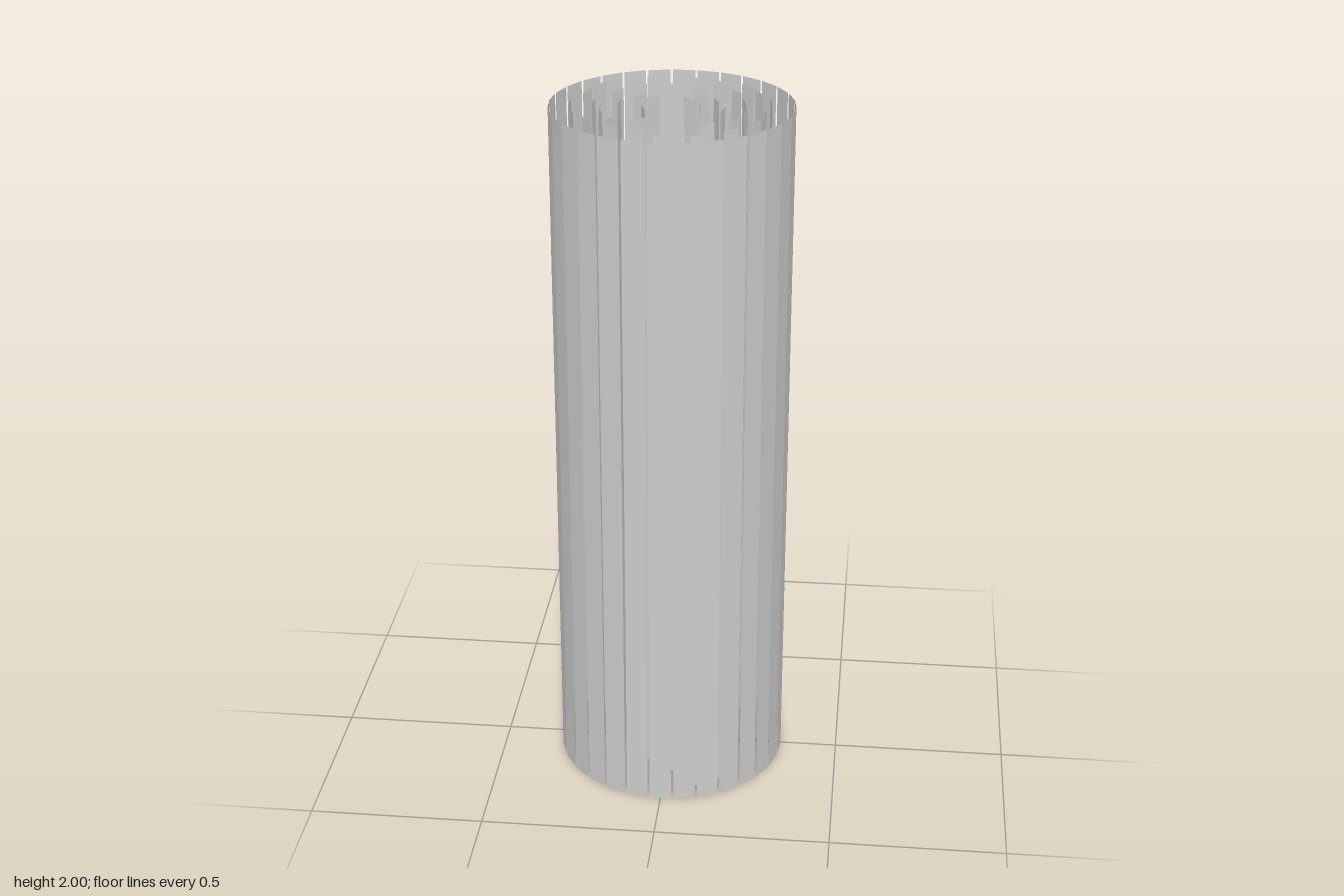
import * as THREE from 'three';

const HEIGHT = 2;
const material = new THREE.MeshStandardMaterial({
  color: 0xcccccc, flatShading: true, side: THREE.DoubleSide,
});

// small seeded generator for the uneven inner slats
function seeded(seed) {
  return () => {
    seed = (seed * 16807) % 2147483647;
    return seed / 2147483647;
  };
}

// a paper-thin, full-height slat facing outward at the given angle
function addSlat(parent, name, radius, angle, width) {
  const slat = new THREE.Mesh(new THREE.PlaneGeometry(width, HEIGHT), material);
  slat.name = name;
  slat.position.set(Math.sin(angle) * radius, HEIGHT / 2, Math.cos(angle) * radius);
  slat.rotation.y = angle;
  parent.add(slat);
}

export function createModel() {
  const model = new THREE.Group();
  model.name = 'slatCylinder';

  // outer wall: 30 slats with narrow gaps
  const wall = new THREE.Group();
  wall.name = 'outerWall';
  const count = 30;
  for (let i = 0; i < count; i++) {
    addSlat(wall, 'outerSlat', 0.331, (i / count) * Math.PI * 2, 0.063);
  }
  model.add(wall);

  // inner rings: narrower, loosely spaced slats
  const random = seeded(4177);
  const rings = [
    { radius: 0.265, slats: 19 },
    { radius: 0.2, slats: 14 },
    { radius: 0.14, slats: 10 },
    { radius: 0.075, slats: 5 },
  ];
  rings.forEach(({ radius, slats }, r) => {
    const ring = new THREE.Group();
    ring.name = 'innerRing' + (r + 1);
    for (let i = 0; i < slats; i++) {
      const angle = ((i + 0.4 * random()) / slats) * Math.PI * 2;
      addSlat(ring, 'innerSlat', radius + 0.03 * (random() - 0.5), angle, 0.045);
    }
    model.add(ring);
  });

  return model;
}
